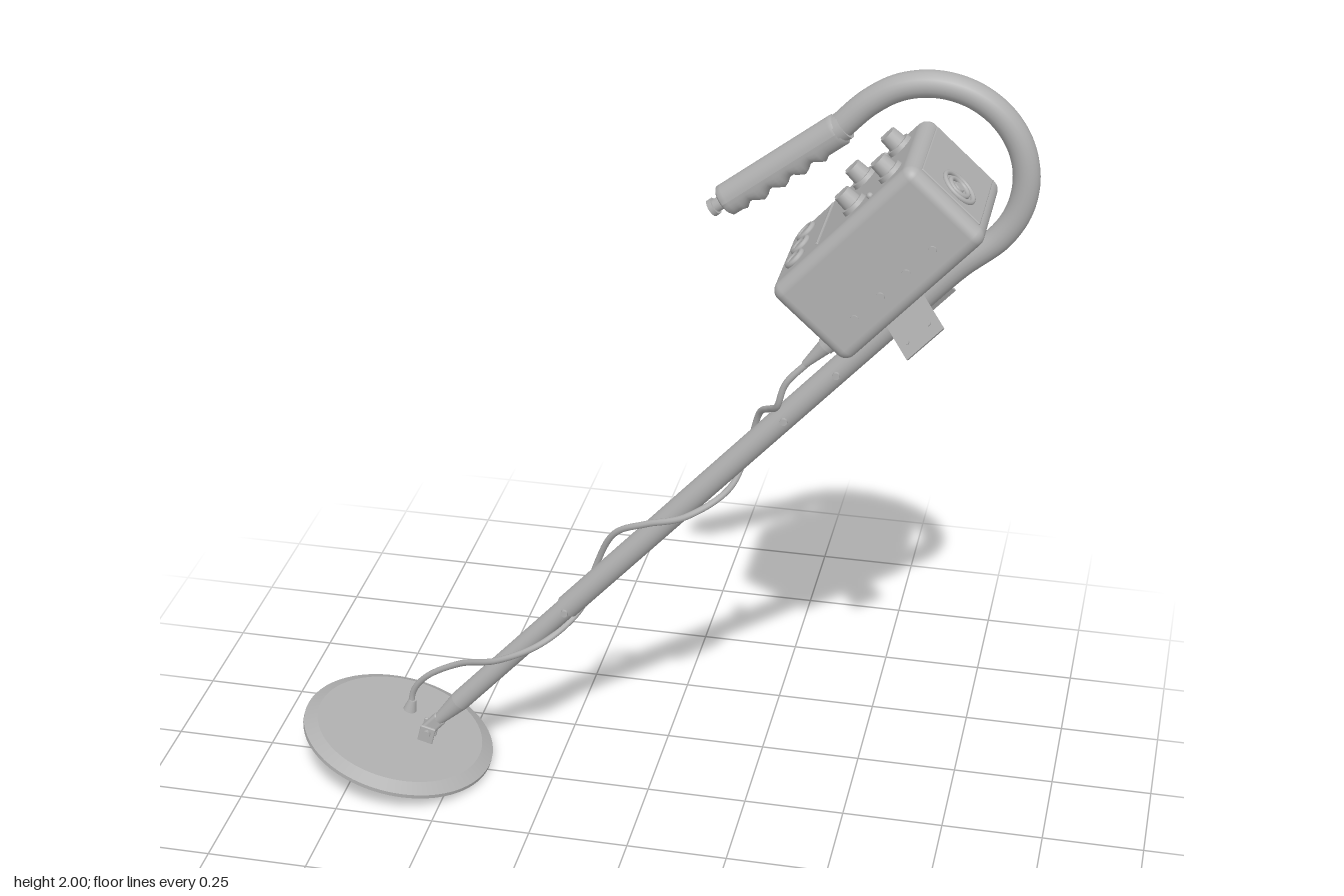
import * as THREE from 'three';
import { RoundedBoxGeometry } from 'three/addons/geometries/RoundedBoxGeometry.js';

const grey = new THREE.MeshStandardMaterial({ color: 0xb0b0b0 });
grey.name = 'grey';
const TILT = Math.atan2(1.33, 1.2); // slope of the shaft

function add(parent, name, geometry, x = 0, y = 0, z = 0) {
  const mesh = new THREE.Mesh(geometry, grey);
  mesh.name = name;
  mesh.position.set(x, y, z);
  parent.add(mesh);
  return mesh;
}

// cylinder lying along x, from x = 0 to x = length
function rod(r0, r1, length, sides = 24) {
  return new THREE.CylinderGeometry(r1, r0, length, sides).rotateZ(-Math.PI / 2).translate(length / 2, 0, 0);
}

function lathe(points, sides = 32) {
  return new THREE.LatheGeometry(points.map(p => new THREE.Vector2(...p)), sides);
}

function curve(points) {
  return new THREE.CatmullRomCurve3(points.map(p => new THREE.Vector3(...p)), false, 'centripetal');
}

// tilted search head with a bevelled rim
function buildCoil() {
  const coil = new THREE.Group();
  coil.name = 'searchCoil';
  const section = [[0, -0.02], [0.232, -0.02], [0.247, -0.009], [0.247, 0.001], [0.215, 0.018], [0, 0.018]];
  for (let i = 0; i < section.length - 1; i++) {
    add(coil, 'coilSurface', lathe([section[i], section[i + 1]], 64));
  }
  add(coil, 'cableSocket', new THREE.CylinderGeometry(0.01, 0.018, 0.035, 16), 0, 0.033, -0.09);
  for (const s of [-1, 1]) {
    add(coil, 'hingeLug', new RoundedBoxGeometry(0.04, 0.05, 0.008, 2, 0.003), 0.072, 0.038, s * 0.018);
    add(coil, 'hingeNut', new THREE.CylinderGeometry(0.011, 0.011, 0.01, 6).rotateX(Math.PI / 2), 0.072, 0.046, s * 0.026);
  }
  coil.position.set(-0.655, 0.077, 0);
  coil.rotation.z = -0.25;
  return coil;
}

// curved upper tube, from the shaft round to the grip
function buildCane() {
  const points = [[0.62, 1.43, 0], [0.72, 1.538, 0]];
  for (let i = 0; i <= 8; i++) {
    const a = THREE.MathUtils.degToRad(-40 + i * 21.5);
    points.push([0.645 + 0.214 * Math.cos(a), 1.755 + 0.214 * Math.sin(a), 0]);
  }
  points.push([0.425, 1.836, 0]);
  return new THREE.TubeGeometry(curve(points), 90, 0.031, 20);
}

// grip with finger waves on its lower side
function buildGrip() {
  const grip = new THREE.Group();
  grip.name = 'grip';
  const length = 0.335;
  const profile = [[0, 0], [0.03, 0], [0.037, 0.006]];
  for (let i = 1; i <= 28; i++) profile.push([0.037, 0.006 + i * (length - 0.012) / 28]);
  profile.push([0.032, length], [0, length]);
  const geometry = lathe(profile, 28);
  const p = geometry.attributes.position;
  for (let i = 0; i < p.count; i++) {
    const x = p.getX(i), y = p.getY(i);
    const wave = y > 0.03 && y < 0.26 ? 0.008 * Math.cos((y - 0.03) / 0.23 * 8 * Math.PI) : 0;
    p.setX(i, x > 0 ? x * (1.08 + wave / 0.037) : x);
    p.setZ(i, p.getZ(i) * 0.9);
  }
  geometry.computeVertexNormals();
  add(grip, 'gripBody', geometry);
  add(grip, 'gripCollar', new THREE.CylinderGeometry(0.034, 0.034, 0.02, 24), 0, length, 0);
  add(grip, 'endButton', new THREE.CylinderGeometry(0.016, 0.016, 0.03, 16), 0, -0.012, 0);
  add(grip, 'endCap', new THREE.CylinderGeometry(0.021, 0.021, 0.012, 16), 0, -0.028, 0);
  grip.position.set(0.175, 1.645, 0);
  grip.rotation.z = Math.atan2(0.2, 0.26) - Math.PI / 2;
  return grip;
}

// control housing, in the frame of the shaft
function buildBox() {
  const box = new THREE.Group();
  box.name = 'controlBox';
  add(box, 'housing', new RoundedBoxGeometry(0.46, 0.243, 0.312, 5, 0.028), 1.86, 0.154, 0);
  add(box, 'endPanel', new RoundedBoxGeometry(0.008, 0.18, 0.25, 2, 0.003), 2.09, 0.155, 0);
  add(box, 'panelRidge', new RoundedBoxGeometry(0.006, 0.008, 0.23, 2, 0.002), 1.785, 0.276, 0);

  // knobs and indicator lamps
  for (const s of [-1, 1]) {
    for (const u of [1.9, 2.016]) {
      add(box, 'knobBase', new THREE.CylinderGeometry(0.031, 0.033, 0.012, 24), u, 0.28, s * 0.076);
      add(box, 'knob', new THREE.CylinderGeometry(0.021, 0.024, 0.036, 16), u, 0.3, s * 0.076);
      add(box, 'knobPointer', new THREE.BoxGeometry(0.036, 0.005, 0.006), u, 0.319, s * 0.076);
    }
    add(box, 'lamp', new THREE.SphereGeometry(0.008, 12, 8), 1.958, 0.277, s * 0.115);
  }

  // three sockets in a row
  for (const z of [-0.076, 0, 0.076]) {
    add(box, 'socketRing', new THREE.TorusGeometry(0.022, 0.007, 10, 28).rotateX(Math.PI / 2), 1.705, 0.279, z);
    add(box, 'socketCore', new THREE.CylinderGeometry(0.014, 0.014, 0.012, 20), 1.705, 0.277, z);
  }

  // loudspeaker on the upper end
  for (const r of [0.043, 0.026]) {
    add(box, 'speakerRing', new THREE.TorusGeometry(r, 0.006, 10, 32).rotateY(Math.PI / 2), 2.096, 0.145, 0.06);
  }
  add(box, 'speakerCore', rod(0.015, 0.012, 0.008), 2.092, 0.145, 0.06);

  // screws along both sides and underneath
  for (const s of [-1, 1]) {
    for (let i = 0; i < 4; i++) {
      const u = 1.733 + i * 0.0837;
      add(box, 'sideScrew', new THREE.CylinderGeometry(0.01, 0.01, 0.008, 12).rotateX(Math.PI / 2), u, 0.1, s * 0.156);
    }
    for (const u of [1.7, 2.03]) {
      add(box, 'baseScrew', new THREE.CylinderGeometry(0.008, 0.008, 0.008, 12), u, 0.032, s * 0.06);
    }
  }
  add(box, 'baseLatch', new RoundedBoxGeometry(0.1, 0.012, 0.032, 2, 0.004), 1.85, 0.031, -0.09);

  // cable gland on the lower end
  add(box, 'glandNut', rod(0.022, 0.022, 0.03, 12), 1.61, 0.085, 0.1);
  add(box, 'glandCone', rod(0.009, 0.02, 0.075, 16), 1.54, 0.085, 0.1);
  return box;
}

// bent saddle plate joining the box to the shaft
function buildSaddle() {
  const saddle = new THREE.Group();
  saddle.name = 'saddle';
  add(saddle, 'saddleTop', new THREE.BoxGeometry(0.118, 0.006, 0.064), 1.785, 0.034, 0);
  for (const s of [-1, 1]) {
    const wing = new THREE.Group();
    wing.name = 'saddleWing';
    wing.position.set(1.785, 0.034, s * 0.03);
    wing.rotation.x = s * Math.atan2(0.098, 0.075);
    add(wing, 'wingPlate', new THREE.BoxGeometry(0.118, 0.006, 0.124), 0, 0, s * 0.062);
    for (const u of [-0.035, 0.035]) {
      add(wing, 'wingScrew', new THREE.CylinderGeometry(0.007, 0.007, 0.012, 10), u, 0, s * 0.09);
    }
    saddle.add(wing);
  }
  return saddle;
}

export function createModel() {
  const model = new THREE.Group();
  model.name = 'metalDetector';
  model.add(buildCoil(), buildGrip());
  add(model, 'cane', buildCane());

  // everything aligned with the shaft: x runs up along it
  const shaft = new THREE.Group();
  shaft.name = 'shaft';
  shaft.position.set(-0.58, 0.1, 0);
  shaft.rotation.z = TILT;
  model.add(shaft);
  add(shaft, 'hingeTongue', new RoundedBoxGeometry(0.07, 0.036, 0.024, 2, 0.008), 0.025, 0, 0);
  add(shaft, 'shaftTip', rod(0.015, 0.026, 0.085), 0.05);
  add(shaft, 'lowerShaft', rod(0.026, 0.026, 0.44), 0.135);
  add(shaft, 'upperShaft', rod(0.03, 0.03, 1.23), 0.56);
  for (const u of [0.56, 1.36, 1.54]) {
    add(shaft, 'shaftPin', new THREE.CylinderGeometry(0.009, 0.009, 0.074, 12).rotateX(Math.PI / 2), u);
  }
  shaft.add(buildBox(), buildSaddle());

  // cable winding round the shaft from the box to the coil
  const cable = curve([
    [0.4, 1.31, 0.1], [0.345, 1.245, 0.1], [0.325, 1.18, 0.09], [0.3, 1.145, 0.04],
    [0.265, 1.1, -0.02], [0.24, 1.01, -0.038], [0.2, 0.9, 0], [0.1, 0.83, 0.04], [0, 0.79, 0.025],
    [-0.085, 0.735, -0.01], [-0.14, 0.62, -0.042], [-0.17, 0.51, -0.035], [-0.215, 0.455, 0],
    [-0.28, 0.41, 0.036], [-0.38, 0.355, 0.032], [-0.5, 0.285, -0.04], [-0.6, 0.21, -0.075],
    [-0.64, 0.15, -0.09], [-0.647, 0.1, -0.09]
  ]);
  add(model, 'cable', new THREE.TubeGeometry(cable, 160, 0.008, 10));
  return model;
}
